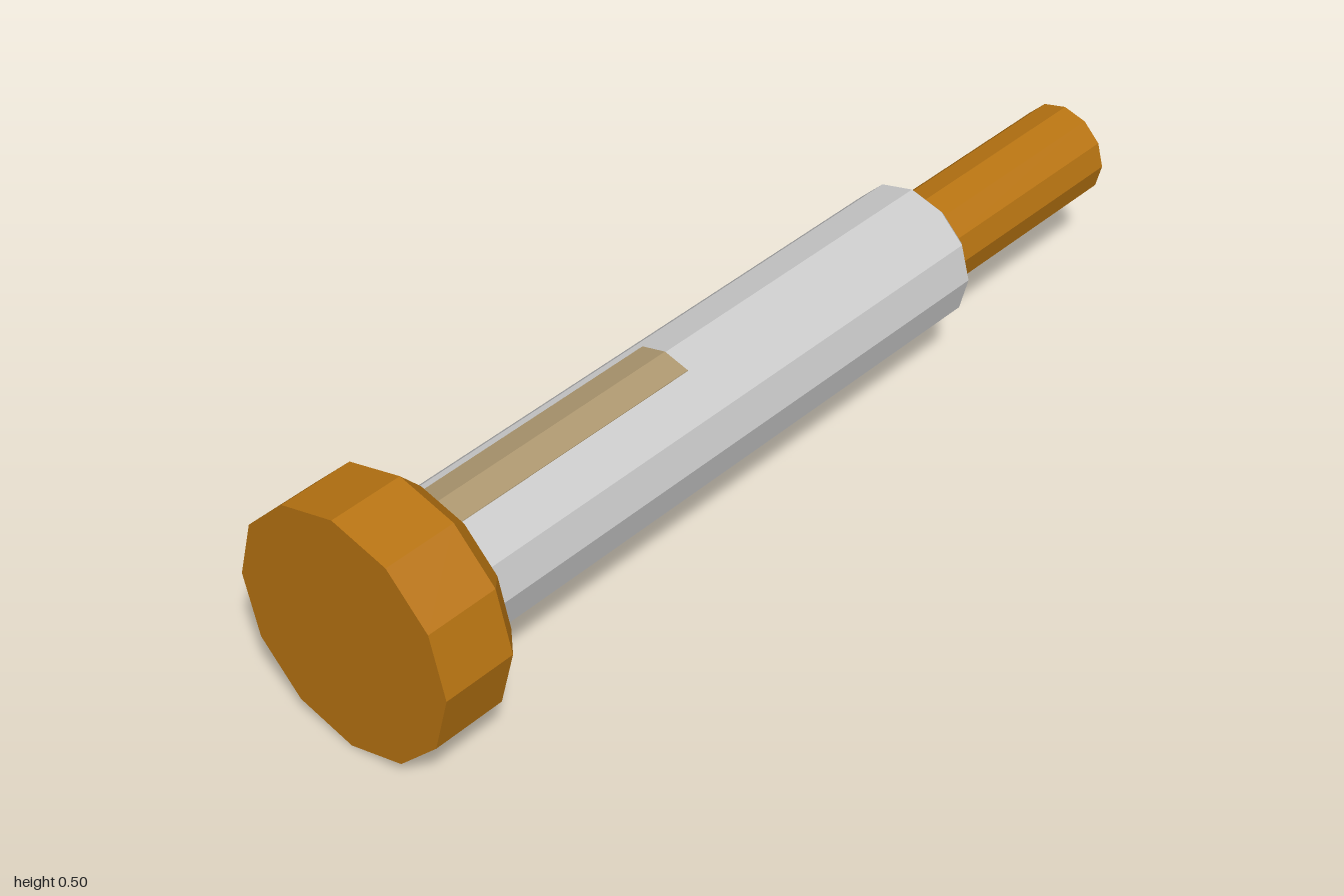
import * as THREE from 'three';

const AXIS_Y = 0.249;
const SIDES = 12;

function material(color) {
  return new THREE.MeshStandardMaterial({ color, flatShading: true });
}

// Turned part lying along z; profile is a list of [radius, z] from back to front
function turned(name, profile, mat) {
  const points = profile.map(([r, z]) => new THREE.Vector2(r, z));
  const geometry = new THREE.LatheGeometry(points, SIDES).rotateX(Math.PI / 2);
  const mesh = new THREE.Mesh(geometry, mat);
  mesh.name = name;
  mesh.position.y = AXIS_Y;
  return mesh;
}

export function createModel() {
  const group = new THREE.Group();
  group.name = 'boltHandle';
  const bronze = material(0xb87412);
  const grey = material(0xcccccc);
  const tan = material(0xae9870);

  // Knob with a chamfered back edge
  group.add(turned('knob', [[0, 0.8], [0.2, 0.8], [0.248, 0.845], [0.248, 1], [0, 1]], bronze));

  // Main shaft with a small bevel at its back end
  group.add(turned('shaft', [[0, -0.52], [0.133, -0.52], [0.145, -0.508], [0.145, 0.81], [0, 0.81]], grey));

  // Thin rod at the back
  group.add(turned('rod', [[0, -1], [0.1, -1], [0.1, -0.51], [0, -0.51]], bronze));

  // Thin strip folded over the top ridge of the shaft
  const half = 0.055, top = 0.1465, drop = half * Math.tan(Math.PI / SIDES), thick = 0.004;
  const shape = new THREE.Shape([
    new THREE.Vector2(half, top - drop),
    new THREE.Vector2(0, top),
    new THREE.Vector2(-half, top - drop),
    new THREE.Vector2(-half, top - drop - thick),
    new THREE.Vector2(0, top - thick),
    new THREE.Vector2(half, top - drop - thick),
  ]);
  const strip = new THREE.Mesh(
    new THREE.ExtrudeGeometry(shape, { depth: 0.58, bevelEnabled: false }), tan);
  strip.name = 'topStrip';
  strip.position.set(0, AXIS_Y, 0.195);
  group.add(strip);

  return group;
}
